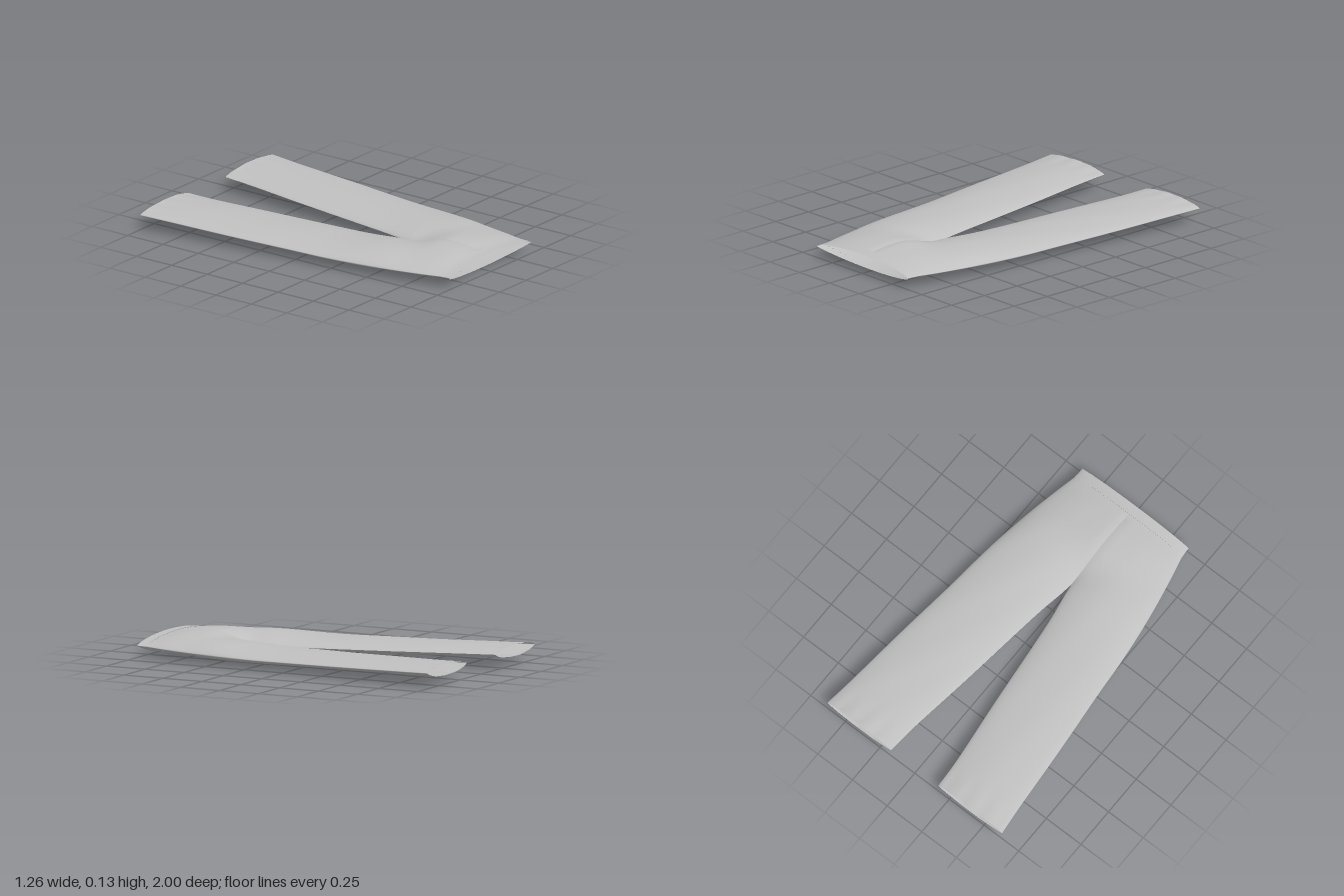
import * as THREE from 'three';

// Stations from cuffs to waist: z, inner x, outer x, top y, bottom y, side-fold y
const stations = [
  [-1.0, 0.17, 0.63, 0.118, 0.052, 0.088],
  [-0.8, 0.155, 0.608, 0.113, 0.046, 0.082],
  [-0.4, 0.105, 0.572, 0.107, 0.036, 0.072],
  [0.0, 0.06, 0.53, 0.103, 0.025, 0.063],
  [0.2, 0.035, 0.513, 0.105, 0.02, 0.06],
  [0.4, 0.003, 0.49, 0.114, 0.014, 0.06],
  [0.6, 0.0, 0.458, 0.13, 0.01, 0.061],
  [0.8, 0.0, 0.418, 0.13, 0.005, 0.063],
  [0.94, 0.0, 0.386, 0.114, 0.002, 0.066],
  [1.0, 0.0, 0.382, 0.112, 0.001, 0.068],
];
const spline = (i, j, k) =>
  new THREE.CatmullRomCurve3(stations.map((s) => new THREE.Vector3(s[i], s[j], s[k])), false, 'catmullrom', 0.5);
const plan = spline(0, 1, 2);
const heights = spline(3, 4, 5);
const { lerp, smoothstep } = THREE.MathUtils;
const soften = (v, p) => Math.sign(v) * Math.pow(Math.abs(v), p);

// Half of the hollow garment between two spline parameters, open at its ends
function cloth(side, t0, t1, rows, flare = 0) {
  const cols = 48;
  const pos = [];
  const index = [];
  for (let r = 0; r <= rows; r++) {
    const t = lerp(t0, t1, r / rows);
    const p = plan.getPoint(t);
    const h = heights.getPoint(t);
    const z = p.x;
    const inner = z > 0.4 ? 0 : Math.max(0, p.y);
    const hip = smoothstep(z, 0.38, 0.72); // closed leg tube opens into the hips
    const slant = 0.08 * smoothstep(z, 0.6, 1);
    const hem = 1 - smoothstep(z, -1, -0.78);
    for (let c = 0; c <= cols; c++) {
      const a = (Math.PI * c) / cols;
      const u = lerp(Math.sin(a) ** 2, Math.sin(a), hip);
      const v = lerp(soften(Math.sin(2 * a), 1.35), soften(Math.cos(a), 1.35), hip);
      const x = lerp(inner, p.z + flare, u);
      let y = h.z + (v > 0 ? v * (h.x + flare - h.z) : -v * (h.y - h.z));
      // soft folds, puckered hems and a centre seam dent
      const body = Math.abs(v) * (1 - smoothstep(z, 0.85, 0.94));
      y += body * 0.0018 * Math.sin(9 * x + 7 * z * side) * Math.sin(5 * z + 14 * x);
      y -= body * hem * 0.006 * Math.max(0, Math.sin(24 * u + side)) * (z > -0.995 ? 1 : 0.3);
      if (v > 0) y -= 0.007 * hip * Math.exp(-((x / 0.02) ** 2)) * (1 - smoothstep(z, 0.9, 0.94));
      pos.push(side * x, y, z - (v < 0 ? -v * slant : 0));
    }
  }
  const n = cols + 1;
  for (let r = 0; r < rows; r++) {
    for (let c = 0; c < cols; c++) {
      const a = r * n + c;
      const b = a + n;
      if (side > 0) index.push(a, b, a + 1, b, b + 1, a + 1);
      else index.push(a, a + 1, b, b, a + 1, b + 1);
    }
  }
  const g = new THREE.BufferGeometry();
  g.setAttribute('position', new THREE.Float32BufferAttribute(pos, 3));
  g.setIndex(index);
  g.computeVertexNormals();
  return g;
}

export function createModel() {
  const group = new THREE.Group();
  group.name = 'trousers';
  const fabric = new THREE.MeshStandardMaterial({ color: 0xc0c0c0, side: THREE.DoubleSide });
  fabric.name = 'grey fabric';
  const band = 8 / 9; // spline parameter where the waistband begins
  for (const [side, name] of [[1, 'left'], [-1, 'right']]) {
    const leg = new THREE.Mesh(cloth(side, 0, band, 80), fabric);
    leg.name = name + 'Leg';
    const waist = new THREE.Mesh(cloth(side, band, 1, 6, 0.002), fabric);
    waist.name = name + 'Waistband';
    group.add(leg, waist);
  }
  return group;
}
